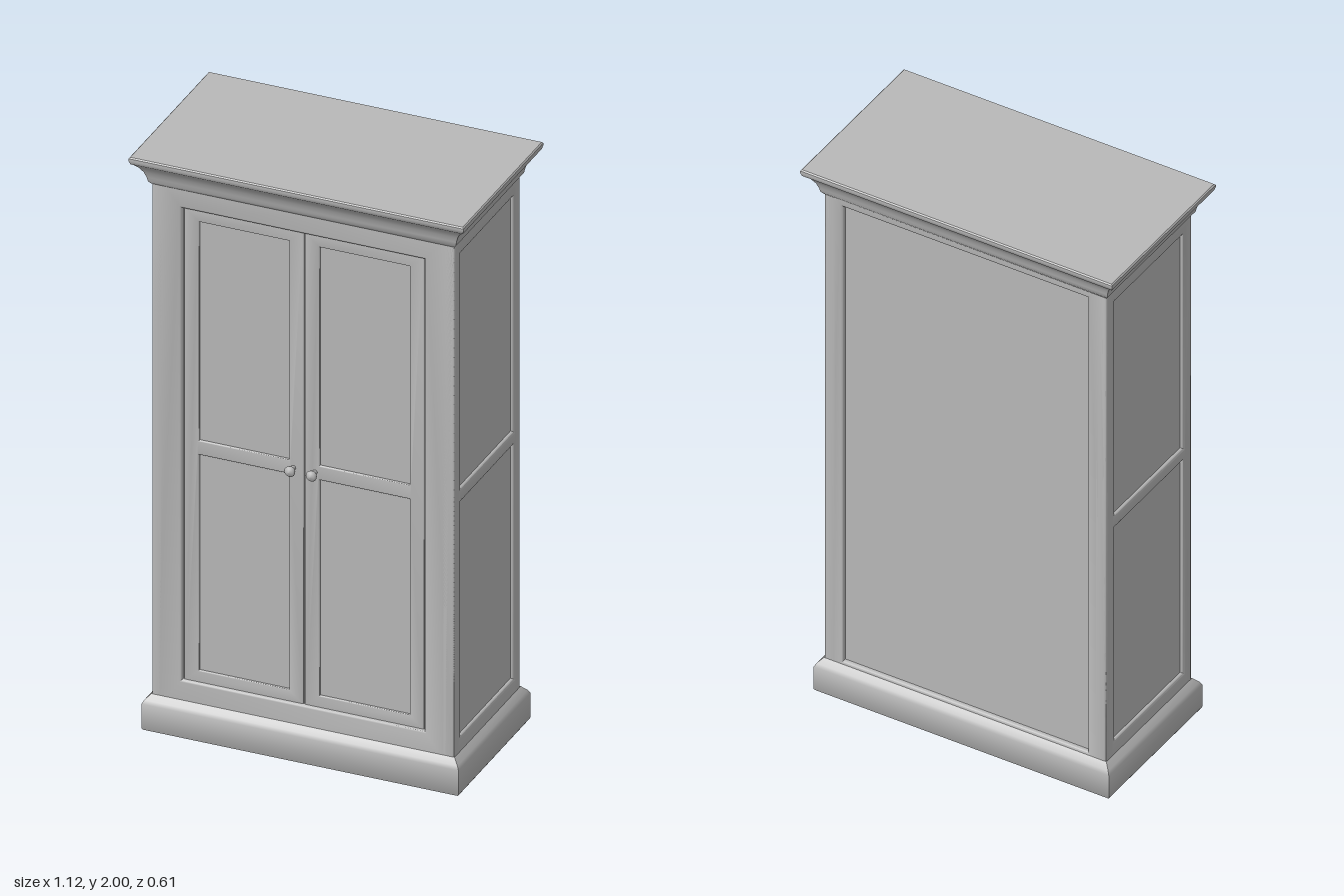
import * as THREE from 'three';
import { toCreasedNormals } from 'three/addons/utils/BufferGeometryUtils.js';

const HX = 0.507, HZ = 0.25; // half width and half depth of the carcass

// Rectangular moulding: rows of [y, overhang] lofted around the carcass, capped both ends
function moulding(profile) {
  const pos = [], index = [];
  for (const [y, o] of profile) {
    const x = HX + o, z = HZ + o;
    pos.push(-x, y, z, x, y, z, x, y, -z, -x, y, -z);
  }
  for (let r = 0; r < profile.length - 1; r++) {
    for (let i = 0; i < 4; i++) {
      const a = r * 4 + i, b = r * 4 + (i + 1) % 4;
      index.push(a, b, b + 4, a, b + 4, a + 4);
    }
  }
  const t = (profile.length - 1) * 4;
  index.push(0, 2, 1, 0, 3, 2, t, t + 1, t + 2, t, t + 2, t + 3);
  const g = new THREE.BufferGeometry();
  g.setAttribute('position', new THREE.Float32BufferAttribute(pos, 3));
  g.setIndex(index);
  return toCreasedNormals(g, 0.7);
}

function rect(path, x0, y0, x1, y1) {
  path.moveTo(x0, y0);
  path.lineTo(x1, y0);
  path.lineTo(x1, y1);
  path.lineTo(x0, y1);
  path.closePath();
  return path;
}

// Bevelled frame with rectangular openings, its front face at z = face
function frame(outer, holes, face, depth, bevel) {
  const shape = rect(new THREE.Shape(), ...outer);
  for (const h of holes) shape.holes.push(rect(new THREE.Path(), ...h));
  const g = new THREE.ExtrudeGeometry(shape, {
    depth: depth - 2 * bevel, bevelEnabled: true, bevelSegments: 2,
    bevelSize: bevel, bevelThickness: bevel, bevelOffset: -bevel,
  });
  g.translate(0, 0, face - depth + bevel);
  return toCreasedNormals(g, 0.9);
}

export function createModel() {
  const group = new THREE.Group();
  const grey = new THREE.MeshStandardMaterial({ color: 0xb8b8b8 });
  grey.name = 'plain grey';

  function add(name, geometry) {
    const mesh = new THREE.Mesh(geometry, grey);
    mesh.name = name;
    group.add(mesh);
    return mesh;
  }

  // Inner carcass: its faces are the recessed panels
  const core = new THREE.BoxGeometry(2 * HX - 0.024, 1.9, 0.468);
  core.translate(0, 1.0, 0);
  add('carcassPanels', core);

  // Front surround
  add('frontFrame', frame([-HX, 0.05, HX, 1.95], [[-0.405, 0.19, 0.405, 1.83]], HZ, 0.045, 0.008));

  // Back surround with one tall panel
  add('backFrame', frame([-HX, 0.05, HX, 1.95], [[-0.44, 0.13, 0.44, 1.87]], HZ, 0.045, 0.008))
    .rotation.y = Math.PI;

  for (const s of [1, -1]) {
    const side = s > 0 ? 'left' : 'right';

    // Side frames with two stacked panels
    add(side + 'SideFrame', frame([-HZ, 0.05, HZ, 1.95],
      [[-0.2, 0.17, 0.2, 0.985], [-0.2, 1.03, 0.2, 1.85]], HX, 0.045, 0.008))
      .rotation.y = s * Math.PI / 2;

    // Door leaf with an upper and a lower panel
    const door = frame([-0.2, 0.185, 0.2, 1.835],
      [[-0.15, 0.23, 0.15, 0.98], [-0.15, 1.03, 0.15, 1.79]], 0.241, 0.03, 0.004);
    add(side + 'Door', door).position.x = s * 0.2015;

    // Turned knob
    const knob = new THREE.LatheGeometry([
      [0.008, 0], [0.008, 0.016], [0.016, 0.024], [0.018, 0.031], [0.013, 0.038], [0, 0.041],
    ].map(([r, y]) => new THREE.Vector2(r, y)), 20);
    knob.rotateX(Math.PI / 2);
    add(side + 'Knob', knob).position.set(s * 0.036, 1.005, 0.239);
  }

  // Plinth with a chamfered top edge
  add('plinth', moulding([[0, 0.02], [0.005, 0.023], [0.09, 0.023], [0.102, 0.017], [0.12, 0]]));

  // Flared crown moulding
  add('crown', moulding([
    [1.895, 0], [1.905, 0.008], [1.92, 0.011], [1.94, 0.018], [1.958, 0.029],
    [1.971, 0.042], [1.976, 0.049], [1.988, 0.053], [1.996, 0.053], [2.0, 0.049],
  ]));

  return group;
}
